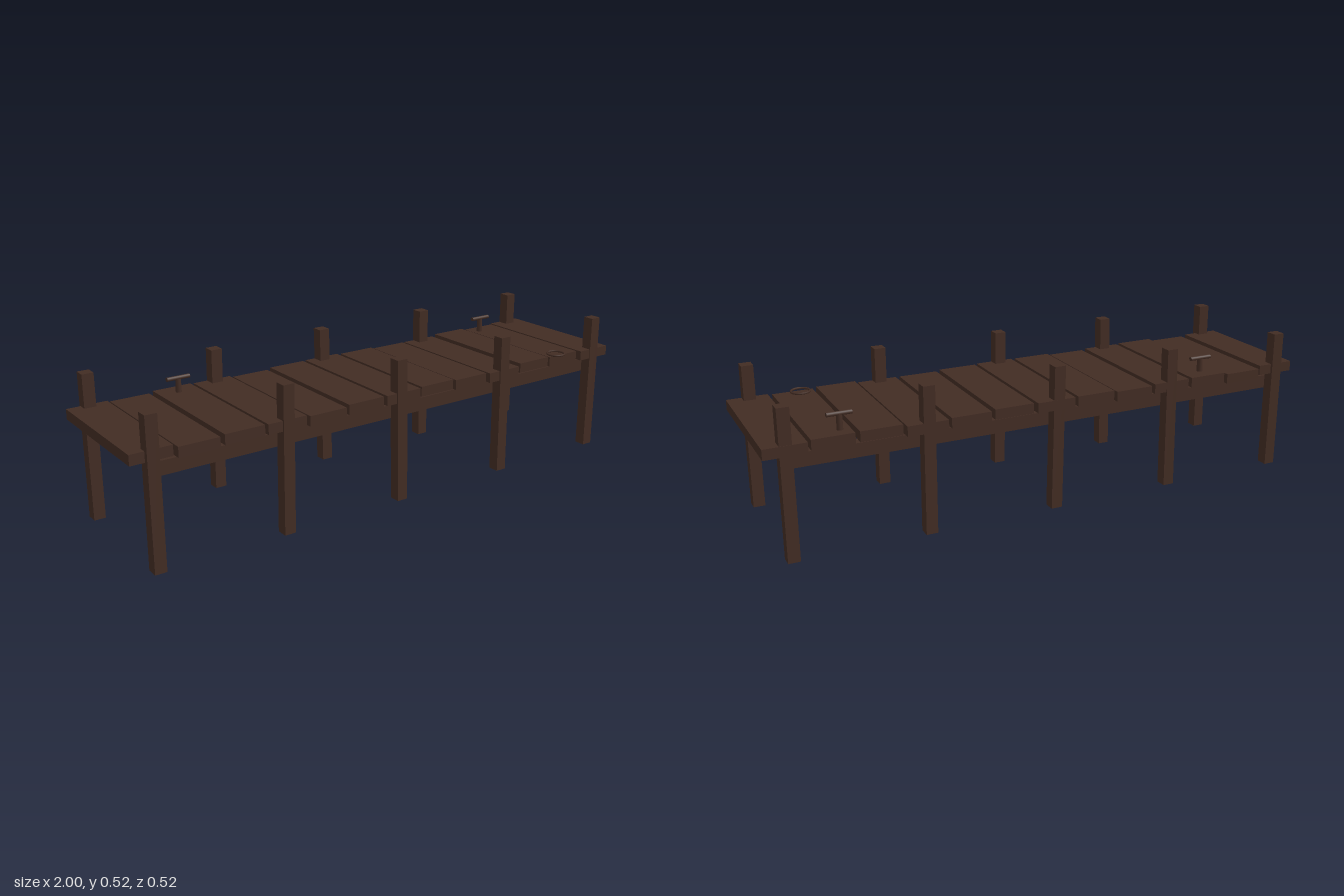
import * as THREE from 'three';

export function createModel() {
  const model = new THREE.Group();
  model.name = 'dock';
  const wood = new THREE.MeshStandardMaterial({ color: 0x422c23 });
  wood.name = 'dark brown wood';

  function add(name, geometry, x, y, z, parent = model) {
    const mesh = new THREE.Mesh(geometry, wood);
    mesh.name = name;
    mesh.position.set(x, y, z);
    parent.add(mesh);
    return mesh;
  }

  // Deck planks, slightly uneven: [top height, back z, front z]
  const planks = [
    [0.4, -0.25, 0.238], [0.392, -0.26, 0.245], [0.399, -0.258, 0.25],
    [0.397, -0.257, 0.249], [0.392, -0.256, 0.251], [0.398, -0.256, 0.247],
    [0.398, -0.259, 0.25], [0.398, -0.251, 0.241], [0.393, -0.251, 0.242],
    [0.391, -0.257, 0.249], [0.399, -0.253, 0.243], [0.395, -0.246, 0.24],
    [0.394, -0.26, 0.252],
  ];
  planks.forEach(([top, back, front], i) => {
    add('plank', new THREE.BoxGeometry(0.142, 0.036, front - back),
      -0.929 + i * 0.1548, top - 0.018, (back + front) / 2);
  });

  // Posts in pairs, leaning a little: [x at the foot, x at the top]
  const posts = [[-0.931, -0.929], [-0.468, -0.461], [-0.004, -0.012], [0.463, 0.459], [0.927, 0.926]];
  for (const [foot, top] of posts) {
    for (const z of [0.234, -0.238]) {
      const geometry = new THREE.BoxGeometry(0.041, 0.516, 0.041);
      const p = geometry.attributes.position;
      for (let i = 0; i < p.count; i++) p.setX(i, p.getX(i) + (p.getY(i) > 0 ? top : foot));
      geometry.computeVertexNormals();
      add('post', geometry, 0, 0.258, z);
    }
  }

  // Long beams under the deck
  for (const z of [0.194, -0.198]) {
    add('beam', new THREE.BoxGeometry(1.86, 0.048, 0.041), 0, 0.324, z);
  }

  // Mooring cleats along the back edge
  for (const x of [-0.622, 0.738]) {
    const cleat = new THREE.Group();
    cleat.name = 'cleat';
    cleat.position.set(x, 0.395, -0.198);
    model.add(cleat);
    add('cleatStem', new THREE.CylinderGeometry(0.01, 0.011, 0.052, 8), 0, 0.026, 0, cleat);
    const bar = new THREE.CylinderGeometry(0.01, 0.01, 0.084, 8).rotateZ(Math.PI / 2);
    bar.scale(1, 0.75, 0.9);
    add('cleatBar', bar, 0, 0.0545, 0, cleat);
  }

  // Mooring ring lying at the front edge
  add('mooringRing', new THREE.TorusGeometry(0.033, 0.004, 6, 16).rotateX(Math.PI / 2), 0.75, 0.398, 0.224);

  return model;
}
